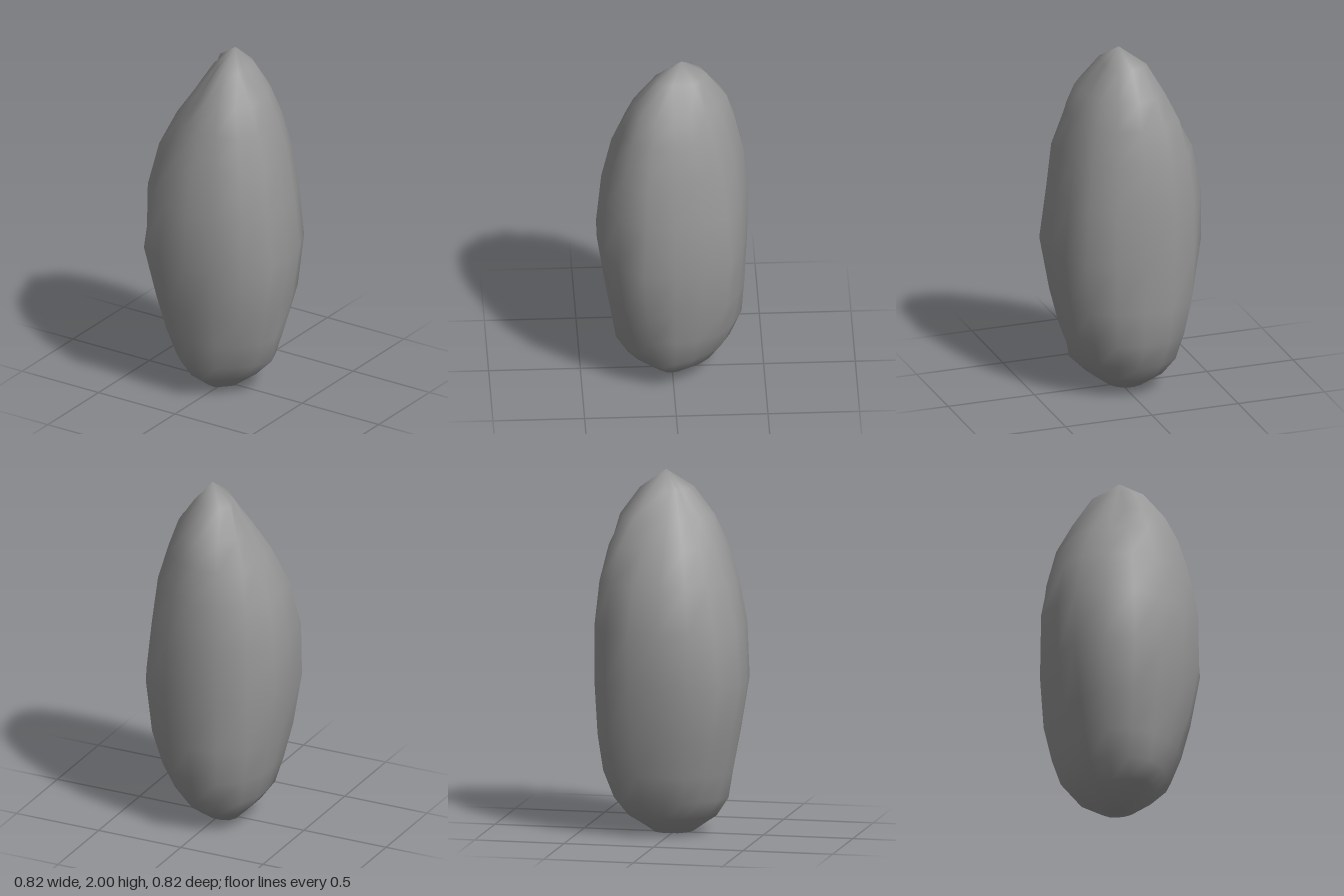
import * as THREE from 'three';

// Each level: height, then the reach in eight compass steps from +x towards +z
const LEVELS = [
  [0.01, 0.08, 0.08, 0.11, 0.11, 0.11, 0.12, 0.1, 0.08],
  [0.1, 0.2, 0.19, 0.24, 0.21, 0.2, 0.25, 0.24, 0.2],
  [0.2, 0.3, 0.26, 0.305, 0.275, 0.28, 0.33, 0.315, 0.27],
  [0.35, 0.325, 0.32, 0.33, 0.33, 0.315, 0.38, 0.38, 0.34],
  [0.55, 0.36, 0.385, 0.365, 0.385, 0.36, 0.425, 0.395, 0.4],
  [0.85, 0.41, 0.44, 0.41, 0.455, 0.405, 0.445, 0.41, 0.435],
  [1.15, 0.375, 0.435, 0.39, 0.415, 0.41, 0.44, 0.415, 0.405],
  [1.4, 0.35, 0.385, 0.345, 0.345, 0.36, 0.41, 0.39, 0.365],
  [1.6, 0.285, 0.325, 0.275, 0.25, 0.265, 0.355, 0.345, 0.31],
  [1.75, 0.235, 0.25, 0.21, 0.155, 0.175, 0.265, 0.3, 0.25],
  [1.9, 0.11, 0.13, 0.085, 0.05, 0.075, 0.155, 0.19, 0.16],
];
// How full the stone is between neighbouring compass steps
const CORNERS = [0.97, 0.91, 0.94, 0.97, 0.95, 0.95, 0.9, 0.9];
const SIDES = 16;
const HALF_STEP = Math.cos(Math.PI / 8);

// Closed irregular ring: compass points alternating with worn corners
function ring([y, ...reach]) {
  return Array.from({ length: SIDES }, (_, i) => {
    const k = Math.floor(i / 2);
    const r0 = reach[k], r1 = reach[(k + 1) % 8];
    const corner = Math.min(((r0 + r1) / 2) * CORNERS[k], r0, r1) / HALF_STEP;
    const r = i % 2 ? corner : r0;
    const a = (i * Math.PI) / 8;
    return new THREE.Vector3(r * Math.cos(a), y, r * Math.sin(a));
  });
}

export function createModel() {
  const vertices = LEVELS.flatMap(ring);
  const bottom = vertices.push(new THREE.Vector3(-0.01, 0, 0)) - 1;
  const apex = vertices.push(new THREE.Vector3(0.03, 2, -0.05)) - 1;

  // Skin between rings, then fans closing the base and the tip
  const index = [];
  const last = (LEVELS.length - 1) * SIDES;
  for (let i = 0; i < SIDES; i++) {
    const j = (i + 1) % SIDES;
    for (let base = 0; base < last; base += SIDES) {
      const a = base + i, b = base + j, c = a + SIDES, d = b + SIDES;
      index.push(a, c, b, b, c, d);
    }
    index.push(bottom, i, j);
    index.push(apex, last + j, last + i);
  }

  const geometry = new THREE.BufferGeometry().setFromPoints(vertices);
  geometry.setIndex(index);
  geometry.computeVertexNormals();

  const stone = new THREE.Mesh(geometry, new THREE.MeshStandardMaterial({ color: 0x989898 }));
  stone.name = 'stone';
  const group = new THREE.Group();
  group.name = 'standingStone';
  group.add(stone);
  return group;
}
